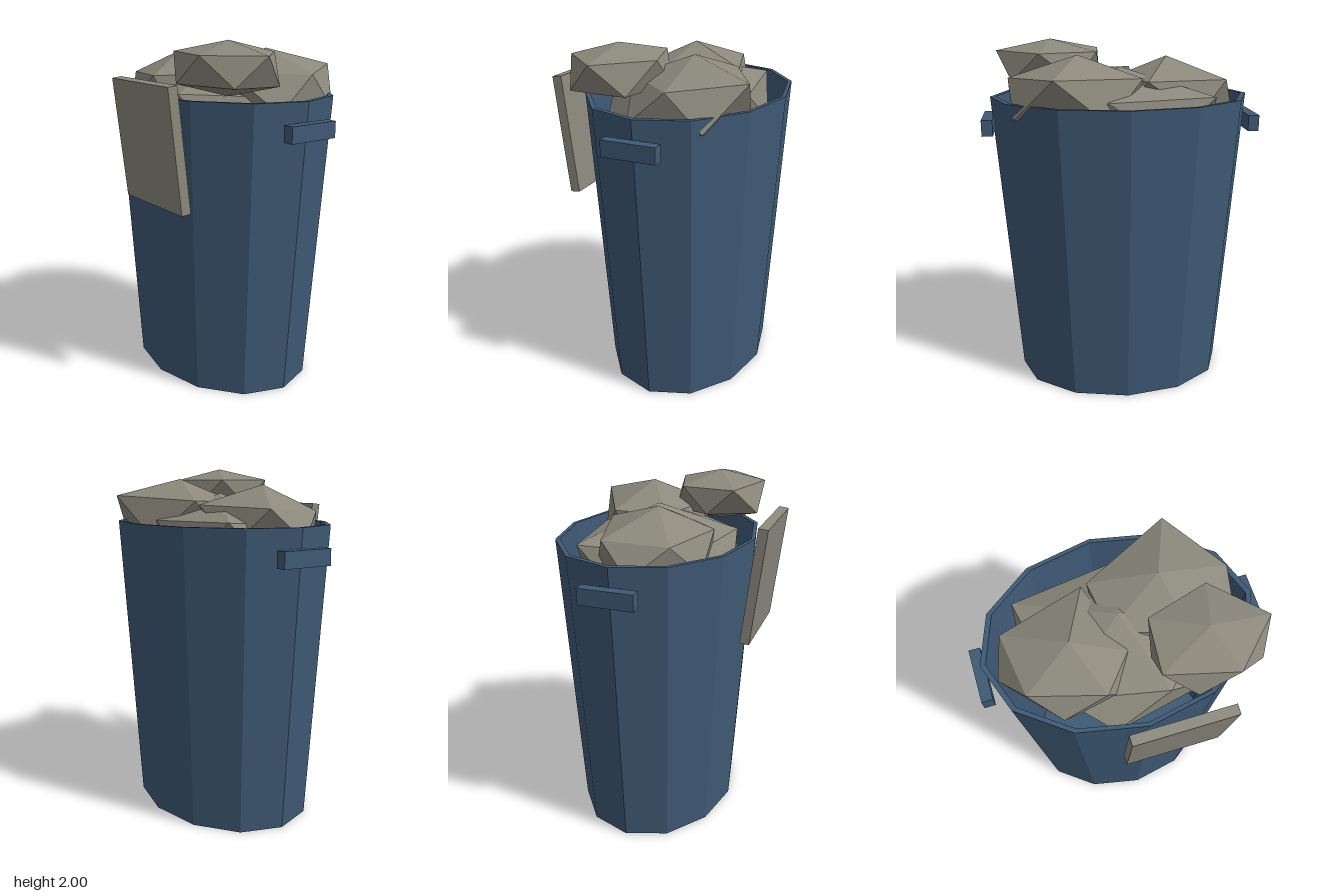
import * as THREE from 'three';
import { ConvexGeometry } from 'three/addons/geometries/ConvexGeometry.js';

const binBlue = new THREE.MeshStandardMaterial({ color: 0x3f5a76 });
binBlue.name = 'binBlue';
const rubbleGrey = new THREE.MeshStandardMaterial({ color: 0x8c897c });
rubbleGrey.name = 'rubbleGrey';

// Each lump is a squashed twenty-sided solid: top, upper ring, lower ring, bottom
const lumps = {
  frontRightLump: [
    [0.39, 2.0, 0.195],
    [0.71, 1.935, 0.195], [0.47, 1.935, 0.44], [0.1, 1.935, 0.345], [0.125, 1.935, 0.04], [0.46, 1.935, -0.06],
    [0.64, 1.78, 0.35], [0.27, 1.78, 0.445], [0.1, 1.79, 0.19], [0.26, 1.78, -0.05], [0.62, 1.77, 0.04],
    [0.39, 1.71, 0.195],
  ],
  leftLump: [
    [-0.28, 1.91, 0.04],
    [0.0, 1.79, 0.12], [-0.16, 1.78, 0.315], [-0.55, 1.77, 0.2], [-0.6, 1.79, -0.15], [-0.13, 1.8, -0.29],
    [-0.06, 1.6, 0.27], [-0.4, 1.6, 0.32], [-0.675, 1.62, 0.02], [-0.42, 1.6, -0.26], [-0.02, 1.6, -0.08],
    [-0.28, 1.48, 0.04],
  ],
  backRightLump: [
    [0.25, 1.94, -0.18],
    [0.63, 1.82, -0.18], [0.39, 1.845, -0.535], [-0.1, 1.82, -0.29], [-0.06, 1.81, 0.0], [0.33, 1.82, 0.14],
    [0.6, 1.62, -0.37], [0.1, 1.6, -0.45], [-0.09, 1.6, -0.13], [0.12, 1.6, 0.12], [0.63, 1.63, 0.04],
    [0.25, 1.46, -0.18],
  ],
  middleLump: [
    [0.0, 1.86, -0.06],
    [0.5, 1.7, 0.0], [0.16, 1.71, 0.36], [-0.38, 1.68, 0.24], [-0.5, 1.72, -0.34], [0.1, 1.71, -0.43],
    [0.46, 1.45, 0.28], [-0.15, 1.48, 0.42], [-0.53, 1.45, -0.05], [-0.22, 1.5, -0.445], [0.42, 1.45, -0.3],
    [0.0, 1.3, -0.04],
  ],
};

function addMesh(parent, name, geometry, material) {
  const mesh = new THREE.Mesh(geometry, material);
  mesh.name = name;
  parent.add(mesh);
  return mesh;
}

export function createModel() {
  const model = new THREE.Group();
  model.name = 'rubbleBin';

  // Tapered twelve-sided oval bin, hollow with a thin rim
  const profile = [[0, 0], [0.615, 0], [0.74, 1.7], [0.71, 1.7], [0.588, 0.04], [0, 0.04]]
    .map(([r, y]) => new THREE.Vector2(r, y));
  const binGeometry = new THREE.LatheGeometry(profile, 12).toNonIndexed();
  binGeometry.scale(1, 1, 0.753);
  binGeometry.computeVertexNormals();
  addMesh(model, 'bin', binGeometry, binBlue).position.z = -0.053;

  // Side handles
  for (const side of [1, -1]) {
    const name = side > 0 ? 'leftHandle' : 'rightHandle';
    addMesh(model, name, new THREE.BoxGeometry(0.062, 0.09, 0.305), binBlue)
      .position.set(side * 0.756, 1.547, -0.053);
  }

  // Heaped lumps
  for (const [name, points] of Object.entries(lumps)) {
    const corners = points.map((p) => new THREE.Vector3(...p));
    addMesh(model, name, new ConvexGeometry(corners), rubbleGrey);
  }

  // Flat slab leaning on the front
  const slab = addMesh(model, 'slab', new THREE.BoxGeometry(0.555, 0.676, 0.056), rubbleGrey);
  slab.position.set(0.152, 1.455, 0.535);
  slab.rotation.x = 0.11;

  return model;
}
